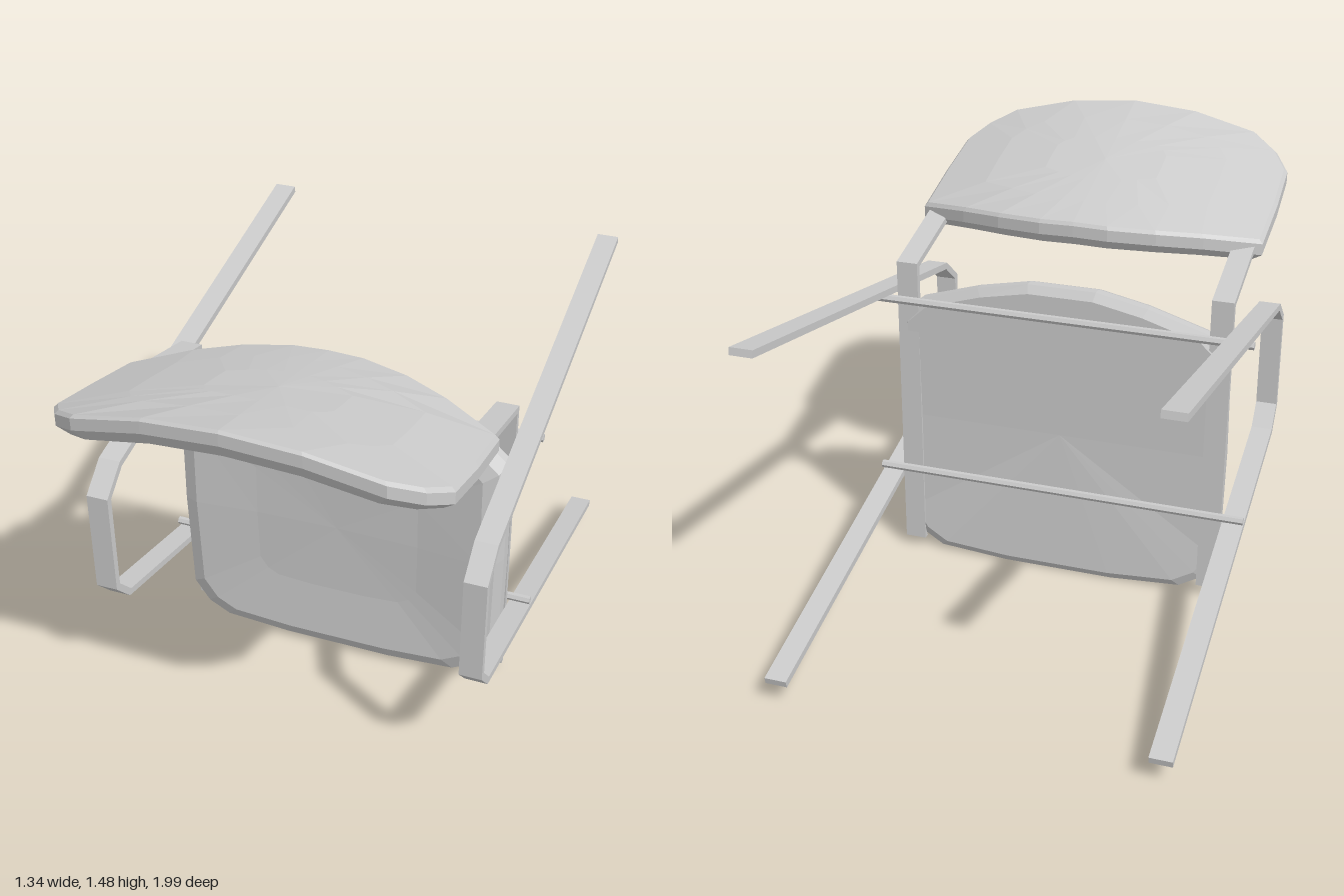
import * as THREE from 'three';

const material = new THREE.MeshStandardMaterial({ color: 0xcccccc, flatShading: true, side: THREE.DoubleSide });

function addMesh(parent, name, geometry) {
  const mesh = new THREE.Mesh(geometry, material);
  mesh.name = name;
  parent.add(mesh);
  return mesh;
}

// Stack scaled copies of a counter-clockwise outline; a scale of 0 closes the surface.
function loft(outline, rings, place) {
  const n = outline.length, positions = [], index = [];
  for (const [scale, level] of rings)
    for (const [u, v] of outline) positions.push(...place(u, v, scale, level));
  for (let r = 0; r < rings.length - 1; r++)
    for (let i = 0; i < n; i++) {
      const a = r * n + i, b = r * n + (i + 1) % n, c = b + n, d = a + n;
      if (rings[r][0] > 0) index.push(a, b, c);
      if (rings[r + 1][0] > 0) index.push(a, c, d);
      else if (rings[r][0] > 0) index[index.length - 1] = d;
    }
  const geometry = new THREE.BufferGeometry();
  geometry.setAttribute('position', new THREE.Float32BufferAttribute(positions, 3));
  geometry.setIndex(index);
  const flat = geometry.toNonIndexed();
  flat.computeVertexNormals();
  return flat;
}

// Flat bar: a (z, y) path thickened with mitred corners and extruded across x.
function flatBar(path, thickness, width, x) {
  const pts = path.map(([z, y]) => new THREE.Vector2(-z, y));
  const side = (sign) => pts.map((p, i) => {
    const before = pts[Math.max(i - 1, 0)], after = pts[Math.min(i + 1, pts.length - 1)];
    const d1 = (i ? p.clone().sub(before) : after.clone().sub(p)).normalize();
    const d2 = (i < pts.length - 1 ? after.clone().sub(p) : d1.clone()).normalize();
    const n1 = new THREE.Vector2(-d1.y, d1.x), n2 = new THREE.Vector2(-d2.y, d2.x);
    const miter = n1.clone().add(n2).normalize();
    return p.clone().addScaledVector(miter, sign * thickness / 2 / miter.dot(n1));
  });
  const shape = new THREE.Shape([...side(1), ...side(-1).reverse()]);
  const geometry = new THREE.ExtrudeGeometry(shape, { depth: width, bevelEnabled: false });
  return geometry.translate(0, 0, -width / 2).rotateY(Math.PI / 2).translate(x, 0, 0);
}

// Complete a right-hand half outline with its mirror image.
const mirrorOutline = (half) => [...half, ...half.slice().reverse().filter(([u]) => u > 0).map(([u, v]) => [-u, v])];

export function createModel() {
  const chair = new THREE.Group();
  chair.name = 'chair';

  // Dished seat pad, lying in the xy plane
  const seatOutline = mirrorOutline([
    [0.2, 0.003], [0.45, 0.02], [0.53, 0.065], [0.585, 0.15], [0.59, 0.55],
    [0.585, 0.93], [0.51, 1.0], [0.3, 1.065], [0.12, 1.102],
  ]);
  const seatRings = [[0, 0.0], [0.95, 0.0], [1, 0.02], [0.995, 0.055], [0.96, 0.1], [0.88, 0.118], [0.5, 0.097], [0, 0.09]];
  addMesh(chair, 'seat', loft(seatOutline, seatRings, (u, v, s, level) => {
    const y = 0.55 + (v - 0.55) * s;
    return [u * s, y, 0.035 * Math.min(y, 0.6) + level - (level < 0.06 ? 0.02 * Math.max(0, 1 - y / 0.15) : 0)];
  }));

  // Curved backrest, leaning outward as z grows
  const backOutline = mirrorOutline([
    [0, 0.165], [0.12, 0.168], [0.28, 0.205], [0.43, 0.265], [0.615, 0.36], [0.62, 0.6],
    [0.615, 0.81], [0.56, 0.895], [0.47, 0.96], [0.24, 0.98], [0, 0.988],
  ]);
  const backRings = [[0, 0], [0.33, 0], [0.66, 0], [0.98, 0], [1, 0.01], [1, 0.05], [0.94, 0.09], [0.66, 0.09], [0.33, 0.09], [0, 0.09]];
  addMesh(chair, 'backrest', loft(backOutline, backRings, (u, v, s, depth) => {
    const x = u * s, z = 0.57 + (v - 0.57) * s;
    return [x, 1.25 + 0.235 * z - 0.115 * (x / 0.62) ** 2 - depth, z];
  }));

  for (const [side, label] of [[1, 'left'], [-1, 'right']]) {
    // Legs and armrest bent from one bar
    addMesh(chair, label + 'LegLoop', flatBar(
      [[-1, 1.255], [0.5, 0.925], [0.594, 0.845], [0.594, 0.49], [0.52, 0.412], [-1, 0.083]], 0.024, 0.075, side * 0.632));
    // Strip under the seat that bends up to carry the backrest
    addMesh(chair, label + 'BackSupport', flatBar(
      [[0.6, 1.253], [0.04, 1.122], [0.004, 0.04]], 0.022, 0.075, side * 0.553));
  }

  // Rods joining the two leg loops
  for (const [y, label] of [[1.005, 'rearCrossbar'], [0.335, 'frontCrossbar']]) {
    const rod = addMesh(chair, label, new THREE.CylinderGeometry(0.014, 0.014, 1.34, 6).rotateZ(Math.PI / 2));
    rod.position.set(0, y, -0.006);
  }
  return chair;
}
